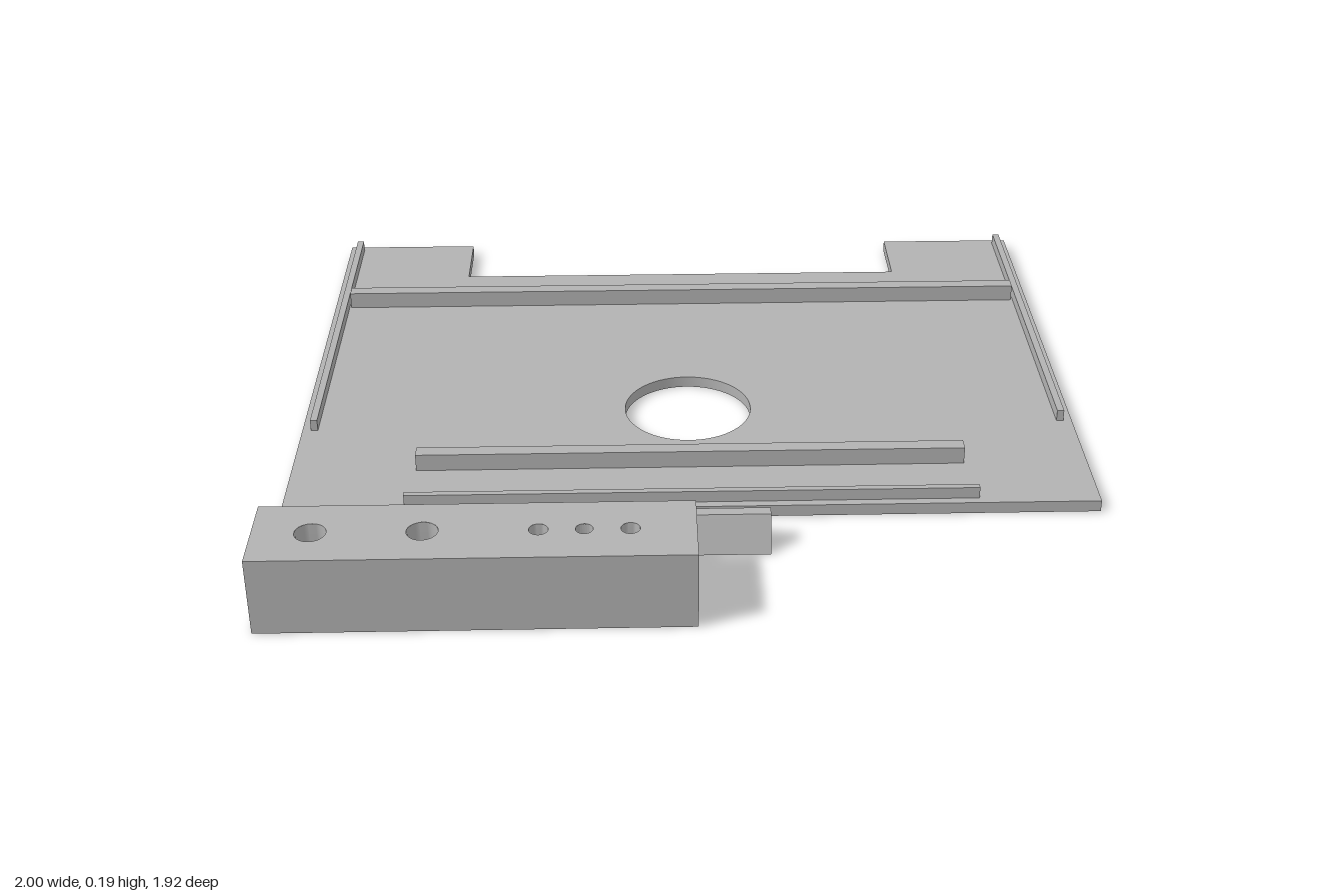
import * as THREE from 'three';
import { toCreasedNormals } from 'three/addons/utils/BufferGeometryUtils.js';

const grey = new THREE.MeshStandardMaterial({ color: 0xb2b2b2 });
grey.name = 'plain grey';

export function createModel() {
  const model = new THREE.Group();
  const add = (parent, name, geometry) => {
    const mesh = new THREE.Mesh(geometry, grey);
    mesh.name = name;
    parent.add(mesh);
    return mesh;
  };
  const polygon = (points) => new THREE.Shape(points.map(([x, y]) => new THREE.Vector2(x, y)));
  const circle = (x, y, r) => new THREE.Path().absarc(x, y, r, 0, Math.PI * 2, true);
  const box = (name, x0, x1, y0, y1, z0, z1) => {
    const mesh = add(model, name, new THREE.BoxGeometry(x1 - x0, y1 - y0, z1 - z0));
    mesh.position.set((x0 + x1) / 2, (y0 + y1) / 2, (z0 + z1) / 2);
  };

  // Base plate with a rear notch and a round opening (shape y is -z)
  const outline = polygon([[-1, -0.513], [1, -0.513], [1, 0.963], [0.63, 0.963],
    [0.63, 0.755], [-0.63, 0.755], [-0.63, 0.963], [-1, 0.963]]);
  outline.holes.push(circle(0, -0.035, 0.165));
  const plate = new THREE.ExtrudeGeometry(outline, { depth: 0.03, bevelEnabled: false, curveSegments: 32 });
  add(model, 'basePlate', toCreasedNormals(plate.rotateX(-Math.PI / 2), 0.6));

  // Raised rails on the plate
  box('leftRail', 0.96, 0.978, 0.03, 0.06, -0.943, 0.127);
  box('rightRail', -0.978, -0.96, 0.03, 0.06, -0.943, 0.127);
  box('rearRail', -0.955, 0.955, 0.03, 0.075, -0.6, -0.563);
  box('frontRail', -0.688, 0.688, 0.03, 0.075, 0.293, 0.33);
  box('frontLip', -0.703, 0.703, 0.03, 0.06, 0.476, 0.492);

  // Loose bar with a trapezoid section
  const section = polygon([[-0.678, 0], [-0.576, 0], [-0.613, 0.09], [-0.641, 0.09]]);
  const bar = new THREE.ExtrudeGeometry(section, { depth: 1.182, bevelEnabled: false });
  bar.rotateY(Math.PI / 2);
  add(model, 'wedgeBar', bar).position.x = -1;

  // Drilled block: four walls, two pierced faces and the bores
  const block = new THREE.Group();
  block.name = 'drilledBlock';
  model.add(block);
  const H = 0.195, z0 = 0.74, z1 = 0.96, zc = 0.85;
  const walls = new THREE.BoxGeometry(1, H, z1 - z0);
  const index = Array.from(walls.index.array);
  walls.setIndex([...index.slice(0, 12), ...index.slice(24)]);
  walls.clearGroups();
  add(block, 'blockWalls', walls).position.set(-0.5, H / 2, zc);

  const stepped = [[0.036, H], [0.036, 0.12], [0.023, 0.12], [0.023, 0.06], [0.03, 0.06], [0.03, 0]];
  const through = [[0.022, H], [0.022, 0]];
  const blindTop = [[0.02, H], [0.02, 0.12], [0, 0.12]];
  const blindBottom = [[0, 0.07], [0.02, 0.07], [0.02, 0]];
  const bores = [[-0.867, [stepped]], [-0.617, [stepped]], [-0.357, [through]],
    [-0.254, [blindTop, blindBottom]], [-0.15, [through]]];

  const piercedFace = (radiusOf) => {
    const face = polygon([[-1, -z1], [0, -z1], [0, -z0], [-1, -z0]]);
    for (const [x, profiles] of bores) face.holes.push(circle(x, -zc, radiusOf(profiles)));
    return new THREE.ShapeGeometry(face, 24);
  };
  const top = piercedFace((p) => p[0][0][0]).rotateX(-Math.PI / 2);
  add(block, 'blockTop', top).position.y = H;
  const bottom = piercedFace((p) => p.at(-1).at(-1)[0]);
  // Mirror the lower face so that it looks down
  const flipped = Array.from(bottom.index.array).reverse();
  bottom.setIndex(flipped);
  bottom.rotateX(-Math.PI / 2);
  bottom.computeVertexNormals();
  add(block, 'blockBottom', bottom);

  // Profiles run downwards so the bore walls face inwards
  for (const [x, profiles] of bores) {
    for (const profile of profiles) {
      const bore = new THREE.LatheGeometry(profile.map(([r, y]) => new THREE.Vector2(r, y)), 24);
      add(block, 'bore', toCreasedNormals(bore, 0.6)).position.set(x, 0, zc);
    }
  }
  return model;
}
